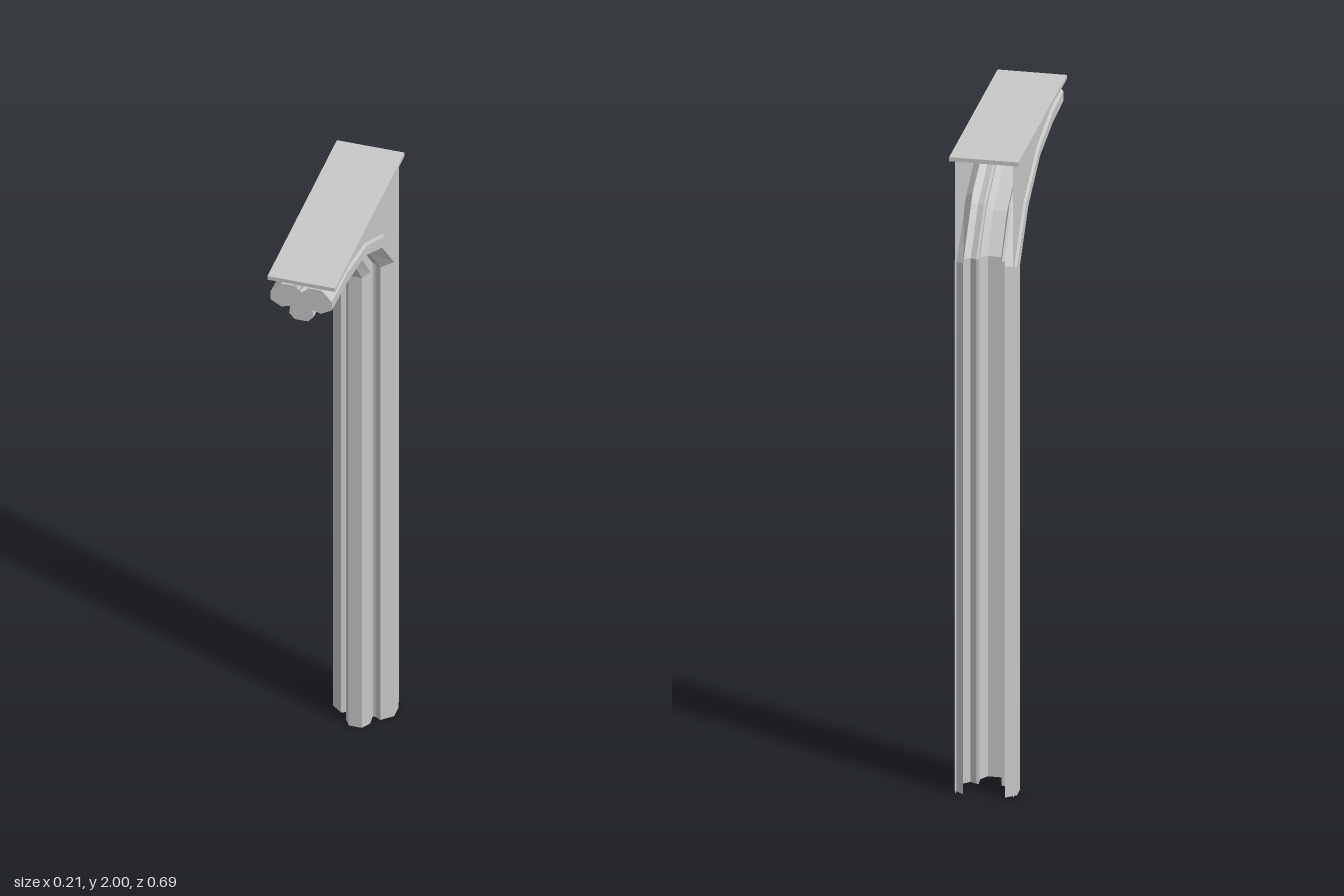
import * as THREE from 'three';

export function createModel() {
  const group = new THREE.Group();
  group.name = 'archedPillar';
  const stone = new THREE.MeshStandardMaterial({ color: 0xc8c8c8, side: THREE.DoubleSide, flatShading: true });
  stone.name = 'grey stone';

  const add = (name, geometry) => {
    const mesh = new THREE.Mesh(geometry, stone);
    mesh.name = name;
    group.add(mesh);
    return mesh;
  };

  // Half of the three-lobed section: x and depth ratio behind the front edge
  const half = [[0.02, 0], [0.037, 0.22], [0.034, 0.5], [0.042, 0.5], [0.06, 0.42],
    [0.093, 0.65], [0.093, 1], [0.062, 1.4]];
  const profile = [...half].reverse().concat(half.map(([x, t]) => [-x, t]));

  // Inner and outer guide lines of the arch, each point [z, y]
  const inner = [[-0.192, 0], [-0.192, 1.635], [-0.11, 1.745], [0.03, 1.828], [0.2, 1.853], [0.345, 1.862]];
  const outer = [[-0.317, 0], [-0.317, 1.66], [-0.18, 1.81], [0, 1.905], [0.19, 1.942], [0.345, 1.948]];
  const point = (j, [x, t]) => [
    x,
    Math.min(THREE.MathUtils.lerp(inner[j][1], outer[j][1], t), 1.986),
    Math.max(THREE.MathUtils.lerp(inner[j][0], outer[j][0], t), -0.343),
  ];

  // Ribs sweep from one guide station to the next
  const ribs = (from, to) => {
    const pos = [];
    for (let j = from; j < to; j++) {
      for (let i = 0; i < profile.length - 1; i++) {
        const a = point(j, profile[i]), b = point(j, profile[i + 1]);
        const c = point(j + 1, profile[i + 1]), d = point(j + 1, profile[i]);
        pos.push(...a, ...d, ...c, ...a, ...c, ...b);
      }
    }
    const geometry = new THREE.BufferGeometry();
    geometry.setAttribute('position', new THREE.Float32BufferAttribute(pos, 3));
    geometry.computeVertexNormals();
    return geometry;
  };
  add('columnShaft', ribs(0, 1));
  add('archRibs', ribs(1, 5));

  // End face of the arch with a small notch in its top
  const end = profile.map((p) => {
    const [x, y] = point(5, p);
    return new THREE.Vector2(x, y);
  });
  end.push(new THREE.Vector2(-0.022, 1.983), new THREE.Vector2(0, 1.962), new THREE.Vector2(0.022, 1.983));
  add('archEnd', new THREE.ShapeGeometry(new THREE.Shape(end))).position.z = 0.345;

  // Side walls filling the corner above the arch and running down the back
  const outline = [[-0.345, 0], ...outer.slice(0, 5), [0.19, 1.988], [-0.345, 1.988]]
    .map(([z, y]) => new THREE.Vector2(-z, y));
  for (const side of [1, -1]) {
    const wall = new THREE.ShapeGeometry(new THREE.Shape(outline));
    wall.rotateY(Math.PI / 2);
    if (side < 0) wall.scale(-1, 1, 1);
    if (side < 0) {
      // Reverse the corners of the mirrored wall
      const index = wall.index.array;
      for (let i = 0; i < index.length; i += 3) [index[i], index[i + 1]] = [index[i + 1], index[i]];
    }
    wall.computeVertexNormals();
    add(side > 0 ? 'leftWall' : 'rightWall', wall).position.x = side * 0.086;
  }

  // Flat slab on top
  add('topSlab', new THREE.BoxGeometry(0.206, 0.013, 0.69)).position.y = 1.9935;

  return group;
}
